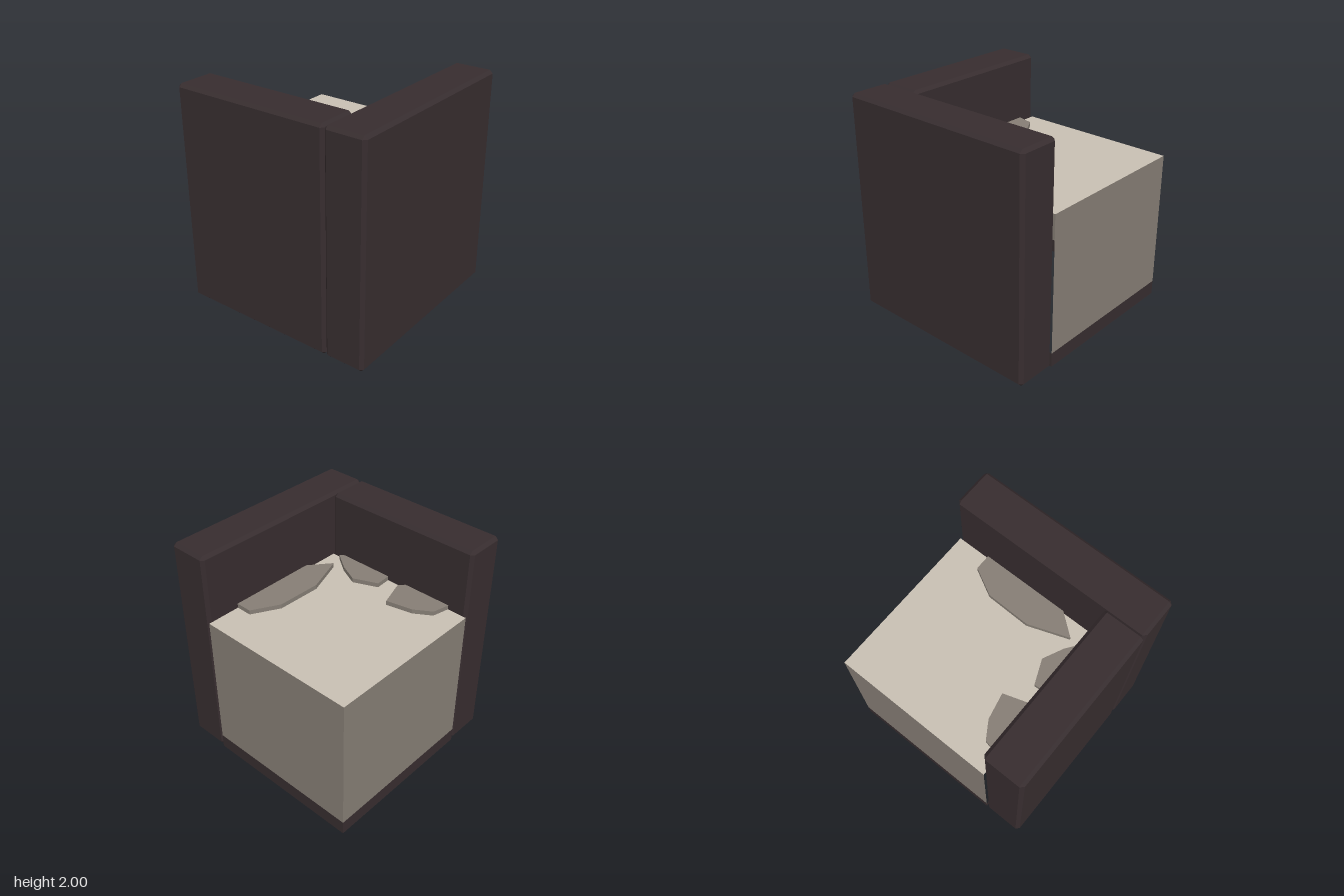
import * as THREE from 'three';
import { ConvexGeometry } from 'three/addons/geometries/ConvexGeometry.js';

const EDGE = 0.925;   // outer half width
const INNER = 0.555;  // inner face of both wall slabs
const BASE_H = 0.13;
const TOP = 1.385;

// Box with evenly chamfered edges, given by its two opposite corners
function chamferedBox(min, max, c) {
  const centre = min.clone().add(max).multiplyScalar(0.5);
  const half = max.clone().sub(min).multiplyScalar(0.5);
  const points = [];
  for (const sx of [-1, 1]) for (const sy of [-1, 1]) for (const sz of [-1, 1]) {
    for (const axis of ['x', 'y', 'z']) {
      const p = half.clone().subScalar(c);
      p[axis] += c;
      points.push(p.multiply(new THREE.Vector3(sx, sy, sz)).add(centre));
    }
  }
  return new ConvexGeometry(points);
}

export function createModel() {
  const group = new THREE.Group();
  const dark = new THREE.MeshStandardMaterial({ color: 0x372d2f, flatShading: true });
  const darkSheet = new THREE.MeshStandardMaterial({ color: 0x372d2f, side: THREE.DoubleSide });
  const beige = new THREE.MeshStandardMaterial({ color: 0xc9c0b3, side: THREE.DoubleSide });
  const grey = new THREE.MeshStandardMaterial({ color: 0x867e75, side: THREE.DoubleSide });
  dark.name = 'darkTrim';
  darkSheet.name = 'darkTrimSheet';
  beige.name = 'paleFloor';
  grey.name = 'greyStone';

  const add = (name, geometry, material) => {
    const mesh = new THREE.Mesh(geometry, material);
    mesh.name = name;
    group.add(mesh);
    return mesh;
  };

  // Two tall wall slabs meeting at the corner
  const V = (x, y, z) => new THREE.Vector3(x, y, z);
  add('frontWall', chamferedBox(V(-EDGE, 0, INNER), V(INNER, 2, EDGE), 0.028), dark);
  add('sideWall', chamferedBox(V(INNER, 0, -EDGE), V(EDGE, 2, EDGE), 0.028), dark);

  // Hollow block: open below, with a dark skirting at its foot
  const size = EDGE + INNER;
  const mid = (INNER - EDGE) / 2;
  const sheet = (name, turn, y0, y1, material) => {
    const geometry = new THREE.PlaneGeometry(size, y1 - y0);
    geometry.translate(0, (y0 + y1) / 2, size / 2).rotateY(turn).translate(mid, 0, mid);
    add(name, geometry, material);
  };
  for (let i = 0; i < 4; i++) sheet('skirting', i * Math.PI / 2, 0, BASE_H, darkSheet);
  sheet('blockBack', Math.PI, BASE_H, TOP, grey);
  sheet('blockSide', -Math.PI / 2, BASE_H, TOP, grey);
  const floor = add('floor', new THREE.PlaneGeometry(size, size).rotateX(-Math.PI / 2), beige);
  floor.position.set(mid, TOP, mid);

  // Flat broken stones lying on the floor against the walls, outlined in x and z
  const stones = [
    [[0.58, -0.615], [0.41, -0.615], [0.28, -0.375], [0.27, -0.03 + 0.06], [0.4, 0.39], [0.58, 0.165]],
    [[-0.75, 0.58], [-0.71, 0.4], [-0.56, 0.305], [-0.325, 0.255], [-0.245, 0.5], [-0.31, 0.58]],
    [[-0.095, 0.58], [-0.105, 0.41], [0.11, 0.32], [0.29, 0.405], [0.455, 0.525], [0.4, 0.58]],
  ];
  for (const outline of stones) {
    const shape = new THREE.Shape(outline.map(([x, z]) => new THREE.Vector2(x, -z)));
    const geometry = new THREE.ExtrudeGeometry(shape, { depth: 0.04, bevelEnabled: false });
    add('flatStone', geometry.rotateX(-Math.PI / 2).translate(0, TOP, 0), grey);
  }
  return group;
}
